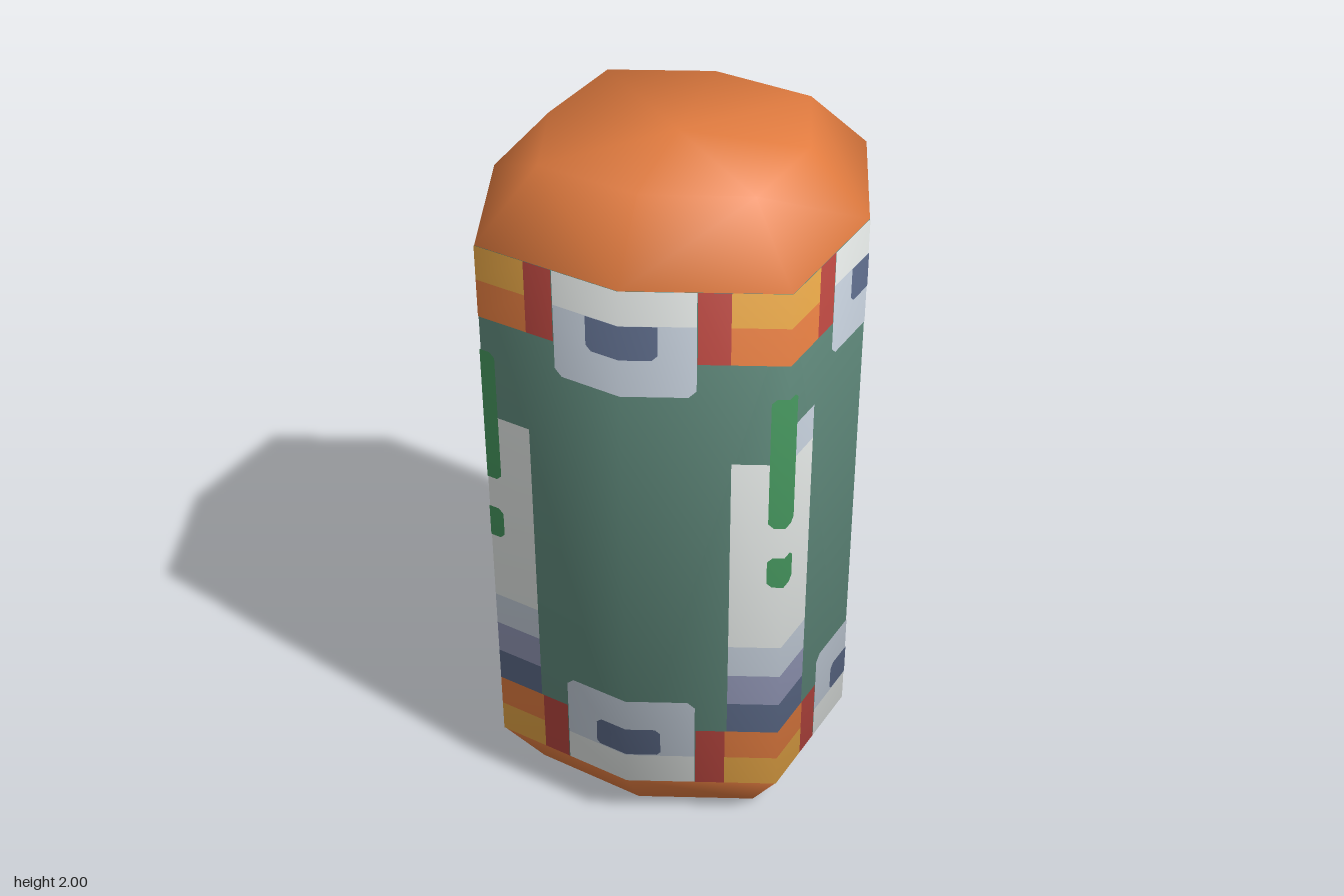
import * as THREE from 'three';

const C = 0.414;                 // corner position on both x and z
const MID = [0.522, 0.514];      // mid-edge distance of front/back and of the sides
const Y0 = 0.17, Y1 = 1.82;      // straight part of the body

const mat = (name, color) => {
  const m = new THREE.MeshStandardMaterial({ color });
  m.name = name;
  return m;
};

// Point on half a side: p runs from the side's middle (0) to the corner (C)
function vertex(side, sign, p, y, scale, tilt, radial = 1) {
  const mid = MID[side % 2], t = p / C;
  const pos = new THREE.Vector3(sign * p * scale, y, (mid + (C - mid) * t) * scale);
  const normal = new THREE.Vector3(sign * t * 0.707 * radial, tilt, (1 - 0.293 * t) * radial).normalize();
  const up = new THREE.Vector3(0, 1, 0), a = side * Math.PI / 2;
  return { pos: pos.applyAxisAngle(up, a), normal: normal.applyAxisAngle(up, a) };
}

// Turn convex polygons into one mesh, each facing along its normals
function meshOf(name, material, polygons) {
  const pos = [], nor = [];
  const e1 = new THREE.Vector3(), e2 = new THREE.Vector3();
  for (const poly of polygons) {
    for (let i = 1; i < poly.length - 1; i++) {
      let tri = [poly[0], poly[i], poly[i + 1]];
      e1.subVectors(tri[1].pos, tri[0].pos);
      e2.subVectors(tri[2].pos, tri[0].pos);
      const sum = tri[0].normal.clone().add(tri[1].normal).add(tri[2].normal);
      if (e1.cross(e2).dot(sum) < 0) tri = [tri[0], tri[2], tri[1]];
      for (const v of tri) {
        pos.push(...v.pos.toArray());
        nor.push(...v.normal.toArray());
      }
    }
  }
  const g = new THREE.BufferGeometry();
  g.setAttribute('position', new THREE.Float32BufferAttribute(pos, 3));
  g.setAttribute('normal', new THREE.Float32BufferAttribute(nor, 3));
  const mesh = new THREE.Mesh(g, material);
  mesh.name = name;
  return mesh;
}

// Run a maker over all eight half sides, or only on the given sides
function halves(make, sides = [0, 1, 2, 3]) {
  const out = [];
  for (const side of sides) for (const sign of [-1, 1]) out.push(...make(side, sign));
  return out;
}

export function createModel() {
  const group = new THREE.Group();
  const teal = mat('teal body', 0x5f897b);
  const orange = mat('orange', 0xe27c40);
  const yellow = mat('yellow', 0xe4a445);
  const red = mat('red', 0xb8463f);
  const white = mat('white', 0xe0e4e2);
  const pale = mat('pale blue grey', 0xc2ccd8);
  const lilac = mat('lilac grey', 0x9297b6);
  const navy = mat('slate blue', 0x5c6a88);
  const green = mat('leaf green', 0x44935c);

  // Painted plate: mirrored about the side's middle or about the corner, free ends may be chamfered
  function plate(name, material, level, p0, p1, y0, y1, { low = 0, high = 0, sides } = {}) {
    const inner = p0 > 0; // free edge is the inner one
    const free = inner ? p0 : p1, fixed = inner ? p1 : p0, dir = inner ? 1 : -1;
    const outline = [[fixed, y0], [free + dir * low, y0]];
    if (low) outline.push([free, y0 + low]);
    if (high) outline.push([free, y1 - high]);
    outline.push([free + dir * high, y1], [fixed, y1]);
    group.add(meshOf(name, material, halves((side, sign) => [
      outline.map(([p, y]) => vertex(side, sign, p, y, 1 + level * 0.003, 0.3 * (y - 0.995) / 0.825)),
    ], sides)));
  }

  // Sloped end caps with flat ends
  function cap(name, rimY, endY, scale) {
    const d = Math.sign(endY - rimY);
    const centre = { pos: new THREE.Vector3(0, endY, 0), normal: new THREE.Vector3(0, d, 0) };
    group.add(meshOf(name, orange, halves((side, sign) => {
      const rim = [0, C].map((p) => vertex(side, sign, p, rimY, 1, 0.3 * d));
      const end = [0, C].map((p) => vertex(side, sign, p, endY, scale, 0.8 * d, 0.6));
      return [[rim[0], rim[1], end[1], end[0]], [centre, end[0], end[1]]];
    })));
  }
  cap('topCap', Y1, 2, 0.685);
  cap('bottomCap', Y0, 0, 0.79);

  // Main body
  plate('body', teal, 0, 0, C, Y0, Y1);

  // Upper bands and hatch panels
  plate('upperYellowBand', yellow, 1, 0.27, C, 1.72, Y1);
  plate('upperOrangeBand', orange, 1, 0.27, C, 1.61, 1.72);
  plate('upperRedBar', red, 1, 0.19, 0.27, 1.61, Y1);
  plate('upperPanelWhite', white, 1, 0, 0.188, 1.72, Y1);
  plate('upperPanelPale', pale, 1, 0, 0.188, 1.51, 1.72, { low: 0.02 });
  plate('upperWindow', navy, 2, 0, 0.094, 1.62, 1.72, { low: 0.015 });

  // Lower bands and hatch panels
  plate('lowerYellowBand', yellow, 1, 0.27, C, Y0, 0.27);
  plate('lowerOrangeBand', orange, 1, 0.27, C, 0.27, 0.37);
  plate('lowerRedBar', red, 1, 0.19, 0.27, Y0, 0.37);
  plate('lowerPanelWhite', white, 1, 0, 0.188, Y0, 0.27);
  plate('lowerPanelPale', pale, 1, 0, 0.188, 0.27, 0.475, { high: 0.02 });
  plate('lowerWindow', navy, 2, 0, 0.094, 0.275, 0.37, { low: 0.01, high: 0.015 });

  // Corner strips, stepped in colour towards the base
  plate('stripBase', navy, 1, 0.275, C, 0.37, 0.475);
  plate('stripLilac', lilac, 1, 0.275, C, 0.475, 0.58);
  plate('stripPale', pale, 1, 0.275, C, 0.58, 0.685);
  plate('stripWhite', white, 1, 0.275, C, 0.685, 1.305);
  plate('stripTip', pale, 1, 0.275, C, 1.305, 1.41, { sides: [1, 3] });

  // Green marks wrapped round each corner
  plate('longMark', green, 2, 0.37, C, 1.1, 1.51, { low: 0.014, high: 0.014 });
  plate('shortMark', green, 2, 0.37, C, 0.9, 1.0, { low: 0.014, high: 0.014 });

  return group;
}
